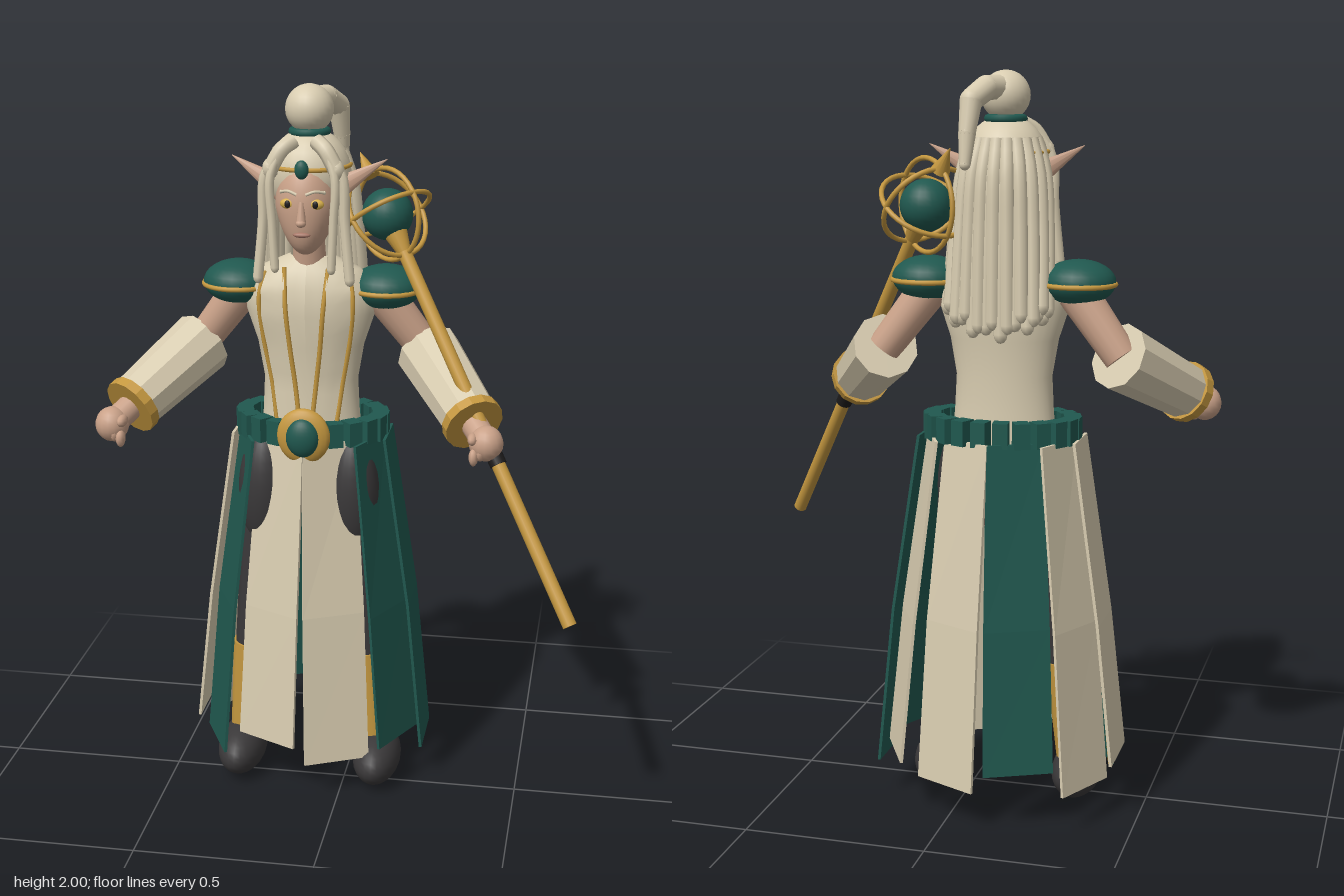
import * as THREE from 'three';

const mat = (name, color) => {
  const m = new THREE.MeshStandardMaterial({ color });
  m.name = name;
  return m;
};
const V = (x, y, z) => new THREE.Vector3(x, y, z);

export function createModel() {
  const cream = mat('cream', 0xd8ccb0), green = mat('deep green', 0x20584f), gold = mat('gold', 0xc4973f);
  const skin = mat('skin', 0xc9a188), dark = mat('charcoal', 0x3a3839), amber = mat('amber', 0xd8b04a);
  const black = mat('black', 0x1c1a1a), lip = mat('lips', 0xa87868);
  const lapelCloth = mat('lapel cream', 0xd8ccb0);
  lapelCloth.side = THREE.DoubleSide;

  const model = new THREE.Group();
  const body = new THREE.Group();
  body.name = 'figure';
  body.position.x = -0.105;
  model.add(body);

  const add = (name, geo, material) => {
    const m = new THREE.Mesh(geo, material);
    m.name = name;
    body.add(m);
    return m;
  };
  const flat = (g) => {
    const n = g.index ? g.toNonIndexed() : g;
    n.computeVertexNormals();
    return n;
  };
  const ball = (name, p, r, material, ws = 24, hs = 16) => {
    const m = add(name, new THREE.SphereGeometry(1, ws, hs), material);
    m.position.set(...p);
    m.scale.set(...r);
    return m;
  };
  // tapered rod from a to b
  const rod = (name, a, b, r0, r1, material, seg = 16, faceted = false) => {
    const d = b.clone().sub(a);
    let g = new THREE.CylinderGeometry(r1, r0, d.length(), seg);
    if (faceted) g = flat(g);
    const m = add(name, g, material);
    m.position.copy(a).addScaledVector(d, 0.5);
    m.quaternion.setFromUnitVectors(V(0, 1, 0), d.normalize());
    return m;
  };
  const ring = (name, p, normal, r, tube, material) => {
    const m = add(name, new THREE.TorusGeometry(r, tube, 8, 36), material);
    m.position.copy(p);
    m.quaternion.setFromUnitVectors(V(0, 0, 1), normal.clone().normalize());
    return m;
  };
  // round strand with a rounded tip
  const strand = (name, pts, r, material, segs = 14) => {
    add(name, new THREE.TubeGeometry(new THREE.CatmullRomCurve3(pts), segs, r, 8), material);
    ball(name + 'Tip', pts[pts.length - 1].toArray(), [r, r * 1.3, r], material, 8, 6);
  };

  // Skirt: ten two-segment panels on an ellipse, alternating in length
  const panel = (name, k, material, rowWidth, shift, depth) => {
    const a = ((18 + 36 * k) * Math.PI) / 180;
    const rows = [
      [1.04, 0.213, 0.13, 0.153], [0.55, 0.285, 0.193, 0.178], [k % 2 ? 0.16 : 0.11, 0.328, 0.226, 0.19],
    ];
    const g = new THREE.BoxGeometry(1, 1, 0.008, 1, 2, 1);
    const p = g.attributes.position;
    for (let i = 0; i < p.count; i++) {
      const [y, rx, rz, w] = rows[Math.round((0.5 - p.getY(i)) * 2)];
      const cx = rx * Math.sin(a), cz = rz * Math.cos(a), b = Math.atan2(cx, cz);
      const s = p.getX(i) * rowWidth(w) + shift * w * 0.5, n = p.getZ(i) + depth;
      p.setXYZ(i, cx + Math.cos(b) * s + Math.sin(b) * n, y, -0.1 + cz - Math.sin(b) * s + Math.cos(b) * n);
    }
    add(name, flat(g), material);
  };
  const panelColors = [cream, green, green, cream, cream, green, cream, cream, green, cream];
  panelColors.forEach((material, k) => panel('skirtPanel', k, material, (w) => w, 0, 0));
  // Gold lining along the outer edges of the front side panels
  for (const [k, shift] of [[1, 1], [8, -1]]) panel('skirtLining', k, gold, () => 0.012, shift, -0.008);

  // Belt of blocks with a round buckle
  for (let i = 0; i < 22; i++) {
    const a = ((i + 0.5) / 22) * Math.PI * 2;
    const m = add('beltBlock', new THREE.BoxGeometry(0.041, 0.068, 0.046), green);
    m.position.set(0.192 * Math.sin(a), 1.063, -0.1 + 0.124 * Math.cos(a));
    m.rotation.y = a;
  }
  ball('buckleRim', [0, 1.063, 0.045], [0.074, 0.079, 0.028], gold);
  ball('buckleStone', [0, 1.063, 0.058], [0.047, 0.056, 0.032], green);

  // Torso lofted through elliptical sections [y, rx, rz]
  const secs = [
    [0.98, 0.15, 0.085], [1.1, 0.136, 0.08], [1.2, 0.131, 0.077], [1.3, 0.148, 0.085],
    [1.39, 0.178, 0.095], [1.46, 0.183, 0.09], [1.51, 0.135, 0.07], [1.545, 0.055, 0.048],
  ];
  const tz = -0.08;
  const torso = new THREE.LatheGeometry(secs.map((s) => new THREE.Vector2(s[1], s[0])), 36);
  const tp = torso.attributes.position;
  for (let i = 0; i < tp.count; i++) {
    const s = secs[i % secs.length];
    tp.setZ(i, tz + (tp.getZ(i) * s[2]) / s[1]);
  }
  torso.computeVertexNormals();
  add('torso', torso, cream);
  const chestZ = (x, y) => {
    let i = 0;
    while (i < secs.length - 2 && secs[i + 1][0] < y) i++;
    const t = (y - secs[i][0]) / (secs[i + 1][0] - secs[i][0]);
    const rx = THREE.MathUtils.lerp(secs[i][1], secs[i + 1][1], t), rz = THREE.MathUtils.lerp(secs[i][2], secs[i + 1][2], t);
    return tz + rz * Math.sqrt(Math.max(0, 1 - (x / rx) ** 2)) + 0.014;
  };
  rod('neck', V(0, 1.5, -0.07), V(0, 1.62, -0.05), 0.047, 0.042, skin);

  for (const s of [-1, 1]) {
    // Gold-edged lapel
    const edges = [
      [[0.115, 1.505], [0.128, 1.44], [0.12, 1.33], [0.098, 1.2], [0.082, 1.08]],
      [[0.06, 1.52], [0.052, 1.42], [0.041, 1.3], [0.029, 1.2], [0.018, 1.1]],
    ].map((line) => new THREE.CatmullRomCurve3(line.map(([x, y]) => V(s * x, y, chestZ(x, y)))));
    for (const e of edges) add('lapelTrim', new THREE.TubeGeometry(e, 24, 0.0065, 6), gold);
    const cloth = new THREE.PlaneGeometry(1, 1, 3, 16);
    const cp = cloth.attributes.position;
    for (let i = 0; i < cp.count; i++) {
      const t = 0.5 - cp.getY(i);
      const q = edges[1].getPoint(t).lerp(edges[0].getPoint(t), 0.5 + s * cp.getX(i));
      cp.setXYZ(i, q.x, q.y, chestZ(Math.abs(q.x), q.y));
    }
    cloth.computeVertexNormals();
    add('lapel', cloth, lapelCloth);

    // Shoulder guard
    ball('shoulderGuard', [s * 0.205, 1.457, -0.1], [0.098, 0.06, 0.094], green);
    const band = ring('shoulderBand', V(s * 0.205, 1.452, -0.1), V(0, 1, 0), 0.096, 0.007, gold);
    band.scale.y = 0.97;

    // Arm, cuff and hand
    const elbow = V(s * 0.325, 1.265, -0.12), wrist = V(s * 0.465, 1.145, 0.09), hand = V(s * 0.508, 1.106, 0.15);
    const axis = wrist.clone().sub(elbow).normalize();
    rod('upperArm', V(s * 0.2, 1.43, -0.1), elbow, 0.054, 0.046, skin);
    rod('cuff', V(s * 0.318, 1.271, -0.128), wrist, 0.09, 0.076, cream, 10, true);
    rod('cuffBand', wrist.clone().addScaledVector(axis, -0.014), wrist.clone().addScaledVector(axis, 0.014), 0.083, 0.083, gold, 14, true);
    rod('wrist', wrist, hand, 0.036, 0.036, skin);
    ball('hand', hand.toArray(), [0.046, 0.048, 0.046], skin, 16, 12);
    for (let f = 0; f < 4; f++)
      ball('finger', [hand.x - s * (0.03 - f * 0.017), 1.075 + f * 0.012, 0.178 - f * 0.006], [0.013, 0.024, 0.02], skin, 10, 8);
    ball('thumb', [hand.x - s * 0.034, 1.122, 0.168], [0.014, 0.016, 0.03], skin, 10, 8);

    // Legs
    ball('thigh', [s * 0.125, 0.875, -0.03], [0.075, 0.175, 0.075], dark);
    rod('legging', V(s * 0.125, 0.92, -0.05), V(s * 0.17, 0.38, -0.04), 0.065, 0.052, dark);
    rod('boot', V(s * 0.195, 0.08, -0.035), V(s * 0.17, 0.4, -0.04), 0.046, 0.058, gold);
    ball('foot', [s * 0.2, 0.073, -0.013], [0.069, 0.073, 0.132], dark);

    // Pointed ear
    const ear = rod('ear', V(s * 0.07, 1.725, -0.045), V(s * 0.21, 1.808, -0.068), 0.035, 0.001, skin, 10);
    ear.scale.z = 0.5;

    // Eyes and brows
    ball('eye', [s * 0.037, 1.703, 0.041], [0.022, 0.014, 0.011], amber, 12, 8);
    ball('pupil', [s * 0.037, 1.703, 0.05], [0.008, 0.01, 0.004], black, 10, 8);
    strand('brow', [V(s * 0.012, 1.729, 0.053), V(s * 0.035, 1.737, 0.047), V(s * 0.058, 1.732, 0.03)], 0.004, cream, 6);

    // Swept fringe and long front locks
    strand('fringe', [V(s * 0.03, 1.86, -0.01), V(s * 0.058, 1.84, 0.012), V(s * 0.088, 1.79, 0.02)], 0.022, cream);
    strand('frontLock', [V(s * 0.07, 1.83, 0.01), V(s * 0.104, 1.77, 0.018), V(s * 0.11, 1.65, 0.018), V(s * 0.124, 1.5, 0.025)], 0.014, cream);
    strand('frontLock', [V(s * 0.06, 1.84, 0.02), V(s * 0.086, 1.77, 0.035), V(s * 0.082, 1.65, 0.035), V(s * 0.076, 1.53, 0.035)], 0.012, cream);
  }

  // Head with tapered jaw
  const headGeo = new THREE.SphereGeometry(1, 32, 24);
  const hp = headGeo.attributes.position;
  for (let i = 0; i < hp.count; i++) {
    const low = Math.max(0, -hp.getY(i));
    hp.setX(i, hp.getX(i) * (1 - 0.22 * low));
    hp.setZ(i, hp.getZ(i) + 0.25 * low * low);
  }
  headGeo.computeVertexNormals();
  const head = add('head', headGeo, skin);
  head.position.set(0, 1.69, -0.03);
  head.scale.set(0.084, 0.132, 0.085);
  rod('nose', V(0, 1.71, 0.05), V(0, 1.653, 0.058), 0.007, 0.014, skin, 8);
  ball('noseTip', [0, 1.655, 0.06], [0.014, 0.011, 0.013], skin, 10, 8);
  ball('mouth', [0, 1.622, 0.05], [0.024, 0.007, 0.009], lip, 12, 8);

  // Hair cap, circlet and topknot
  ball('hairCap', [0, 1.765, -0.075], [0.113, 0.12, 0.106], cream);
  ring('circlet', V(0, 1.79, -0.072), V(0, 1, 0), 0.11, 0.006, gold);
  ball('circletGem', [0, 1.793, 0.044], [0.019, 0.025, 0.014], green, 16, 10);
  ring('topknotBand', V(0, 1.876, -0.077), V(0, 1, 0), 0.046, 0.011, green);
  ball('topknot', [0, 1.935, -0.077], [0.065, 0.065, 0.065], cream);
  const tail = [V(0, 1.955, -0.09), V(0.03, 1.955, -0.16), V(0.055, 1.925, -0.215), V(0.06, 1.845, -0.235), V(0.062, 1.765, -0.25)];
  const tailRadius = [0.033, 0.032, 0.03, 0.023, 0.015];
  tail.forEach((p, i) => {
    ball('ponytailKnot', p.toArray(), Array(3).fill(tailRadius[i]), cream, 12, 10);
    if (i) rod('ponytail', tail[i - 1], p, tailRadius[i - 1], tailRadius[i], cream, 12);
  });

  // Two layers of back locks
  for (let layer = 0; layer < 2; layer++) {
    const n = 11 - layer;
    for (let i = 0; i < n; i++) {
      const t = (i / (n - 1)) * 2 - 1, a = t * 1.45, k = layer ? 0.9 : 1;
      const x = Math.sin(a) * k, z = -Math.cos(a) * k;
      const end = 1.34 + 0.05 * Math.abs(t) + 0.02 * (i % 2) - layer * 0.02;
      strand('backLock', [
        V(0.085 * x, 1.825, -0.08 + 0.085 * z), V(0.112 * x, 1.74, -0.085 + 0.108 * z),
        V(0.125 * x, 1.6, -0.105 + 0.096 * z), V(0.135 * x, end, -0.15 + 0.055 * z),
      ], 0.019, cream);
    }
  }

  // Staff with ringed orb
  const foot = V(0.753, 0.682, 0.335), orb = V(0.203, 1.65, -0.125);
  const dir = orb.clone().sub(foot).normalize();
  const along = (d) => orb.clone().addScaledVector(dir, d);
  rod('staffShaft', foot, along(-0.06), 0.019, 0.019, gold);
  rod('staffGrip', along(-0.745), along(-0.715), 0.023, 0.023, black);
  rod('orbCup', along(-0.12), along(-0.06), 0.018, 0.032, gold);
  ball('orb', orb.toArray(), [0.07, 0.07, 0.07], green);
  rod('staffSpike', along(0.115), along(0.19), 0.026, 0.001, gold, 12);
  const side = V(0, 1, 0).cross(dir).normalize(), across = dir.clone().cross(side);
  for (const n of [side, across, dir]) ring('orbRing', orb, n, 0.124, 0.007, gold);

  return model;
}
